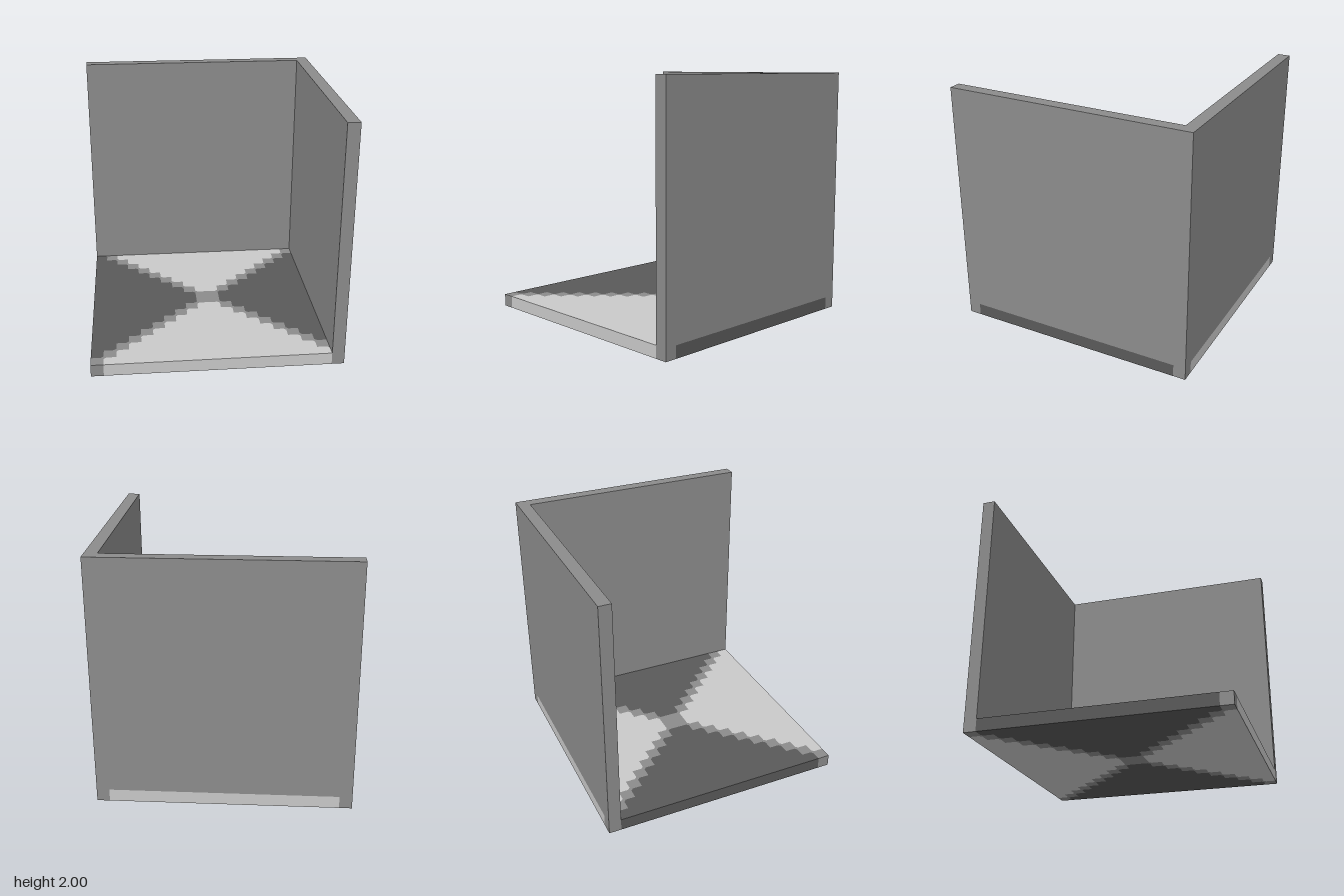
import * as THREE from 'three';

const CELL = 0.1;   // tile size and panel thickness
const CUT = 0.02;   // clipped corner of each step

export function createModel() {
  const model = new THREE.Group();
  const grey = new THREE.MeshStandardMaterial({ name: 'mid grey', color: 0x8c8c8c });
  const light = new THREE.MeshStandardMaterial({ name: 'light grey', color: 0xc9c9c9 });
  const dark = new THREE.MeshStandardMaterial({ name: 'dark grey', color: 0x595959 });

  const add = (parent, name, geometry, material) => {
    const mesh = new THREE.Mesh(geometry, material);
    mesh.name = name;
    parent.add(mesh);
    return mesh;
  };

  // Stepped inner border of one floor wedge, from left to right
  const half = [[-0.9, 1]];
  for (let i = 9; i >= 1; i--) {
    const d = i * CELL;
    half.push([-d, d + CUT], [-d + CUT, d]);
    if (i > 1) half.push([CELL - d, d]);
  }
  const border = [...half, ...half.map(([x, y]) => [-x, y]).reverse()];

  // Clockwise quarter turns
  const turn = ([x, y], k) => {
    for (let n = 0; n < k; n++) [x, y] = [y, -x];
    return new THREE.Vector2(x, y);
  };

  const slab = (points) => {
    const shape = new THREE.Shape(points);
    const geometry = new THREE.ExtrudeGeometry(shape, { depth: CELL, bevelEnabled: false });
    return geometry.rotateX(-Math.PI / 2);
  };

  // Floor: four wedges around a stepped diagonal cross
  const floor = new THREE.Group();
  floor.name = 'floor';
  model.add(floor);
  const cross = [];
  ['backWedge', 'leftWedge', 'frontWedge', 'rightWedge'].forEach((name, k) => {
    const edge = border.map((p) => turn(p, k));
    add(floor, name, slab(edge), k % 2 ? dark : light);
    cross.push(...edge, turn([1, 1], k));
  });
  add(floor, 'diagonalCross', slab(cross), grey);

  // Walls standing on the floor
  const wallHeight = 2 - CELL;
  add(model, 'backWall', new THREE.BoxGeometry(2, wallHeight, CELL), grey)
    .position.set(0, CELL + wallHeight / 2, -0.95);
  add(model, 'sideWall', new THREE.BoxGeometry(CELL, wallHeight, 1.9), grey)
    .position.set(0.95, CELL + wallHeight / 2, 0.05);

  return model;
}
